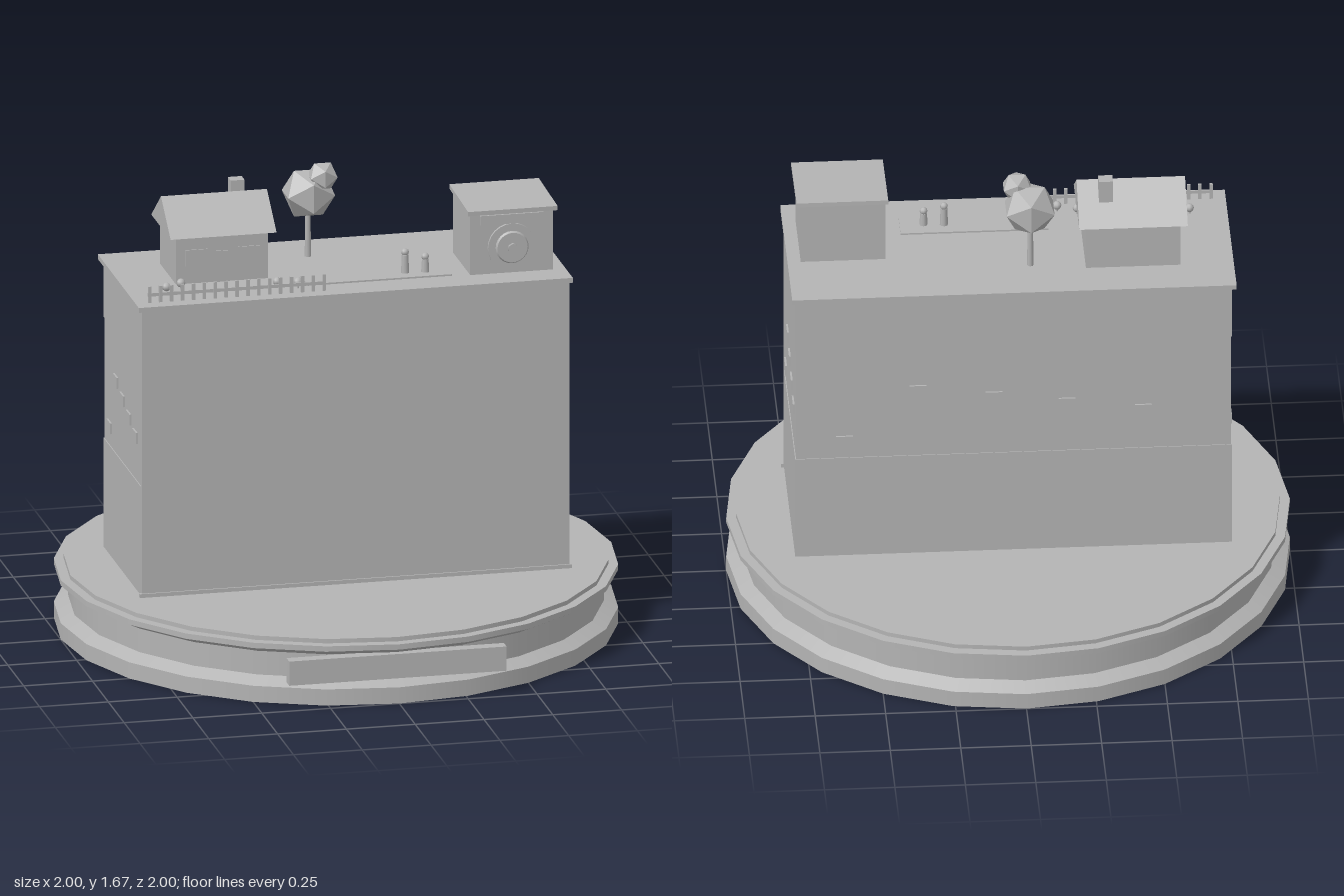
import * as THREE from 'three';

export function createModel() {
  const root = new THREE.Group();
  root.name = 'clifftopHouseDiorama';
  const stone = new THREE.MeshStandardMaterial({ color: 0xb4b4b4 });
  stone.name = 'plain grey';
  const facet = new THREE.MeshStandardMaterial({ color: 0xb4b4b4, flatShading: true });
  facet.name = 'plain grey faceted';

  const add = (name, geo, x = 0, y = 0, z = 0, parent = root, mat = stone) => {
    const m = new THREE.Mesh(geo, mat);
    m.name = name;
    m.position.set(x, y, z);
    parent.add(m);
    return m;
  };
  // box given by its limits on each axis
  const box = (name, x0, x1, y0, y1, z0, z1, parent = root) =>
    add(name, new THREE.BoxGeometry(x1 - x0, y1 - y0, z1 - z0),
      (x0 + x1) / 2, (y0 + y1) / 2, (z0 + z1) / 2, parent);
  const group = (name) => {
    const g = new THREE.Group();
    g.name = name;
    root.add(g);
    return g;
  };

  // Round stand: stacked 24-sided rings [bottom radius, top radius, y0, y1]
  const stand = group('stand');
  [
    [1, 1, 0, 0.06],
    [1, 0.95, 0.06, 0.087],
    [0.95, 0.95, 0.087, 0.175],
    [0.95, 1, 0.175, 0.2],
    [1, 1, 0.2, 0.22],
    [0.965, 0.965, 0.22, 0.236],
  ].forEach(([r0, r1, y0, y1]) =>
    add('standRing', new THREE.CylinderGeometry(r1, r0, y1 - y0, 24), 0, (y0 + y1) / 2, 0, stand));
  box('blankPlaque', -0.395, 0.395, 0.087, 0.177, 0.935, 0.978, stand);

  // Tall block: the middle course is set back a hair
  const block = group('block');
  box('lowerCourse', -0.775, 0.775, 0.23, 0.64, -0.305, 0.3, block);
  box('middleCourse', -0.772, 0.772, 0.64, 1.09, -0.302, 0.3, block);
  box('upperCourse', -0.775, 0.775, 1.09, 1.297, -0.305, 0.3, block);
  box('frontPanel', -0.777, 0.777, 0.236, 1.297, 0.3, 0.31, block);
  box('frontSill', -0.785, 0.785, 0.236, 0.25, 0.3, 0.316, block);
  box('topSlab', -0.79, 0.787, 1.297, 1.315, -0.327, 0.32, block);

  // Small windows stepping down three walls
  const windows = group('windows');
  const heights = [0.71, 0.91, 0.873, 0.837, 0.8];
  const sideZ = [0.213, 0.112, 0.01, -0.093, -0.195];
  const backX = [0.6, 0.34, 0.07, -0.19, -0.46];
  heights.forEach((y, i) => {
    for (const s of [1, -1]) {
      add('sideWindow', new THREE.BoxGeometry(0.009, 0.04, 0.06), s * 0.774, y, s * sideZ[i], windows);
    }
    add('backWindow', new THREE.BoxGeometry(0.06, 0.04, 0.009), backX[i], y, -0.304, windows);
  });

  // Cottage with gable roof
  const house = group('house');
  box('houseWalls', -0.6, -0.265, 1.31, 1.5, -0.175, 0.08, house);
  const gable = new THREE.Shape([
    new THREE.Vector2(-0.153, 0), new THREE.Vector2(0.153, 0), new THREE.Vector2(0, 0.115),
  ]);
  const roof = add('houseRoof', new THREE.ExtrudeGeometry(gable, { depth: 0.385, bevelEnabled: false }),
    -0.625, 1.49, -0.048, house);
  roof.rotation.y = Math.PI / 2;
  box('chimney', -0.365, -0.315, 1.53, 1.636, -0.12, -0.075, house);
  box('houseDoor', -0.455, -0.405, 1.315, 1.43, 0.08, 0.084, house);
  for (const x of [-0.525, -0.335]) {
    box('houseWindow', x - 0.04, x + 0.04, 1.38, 1.44, 0.08, 0.084, house);
  }

  // Picket fence
  const fence = group('fence');
  const pickets = 17;
  for (let i = 0; i < pickets; i++) {
    const x = -0.738 + (i * 0.634) / (pickets - 1);
    box('picket', x - 0.006, x + 0.006, 1.313, 1.375, 0.262, 0.27, fence);
  }
  box('fenceRail', -0.745, -0.098, 1.338, 1.35, 0.263, 0.269, fence);

  // Little flowers beside the cottage
  const flowers = group('flowers');
  for (const [x, z] of [[-0.655, 0.17], [-0.595, 0.137], [-0.258, 0.195], [-0.188, 0.217]]) {
    add('flowerStem', new THREE.CylinderGeometry(0.004, 0.004, 0.025, 6), x, 1.325, z, flowers);
    add('flowerHead', new THREE.SphereGeometry(0.016, 8, 6), x, 1.338, z, flowers);
  }

  // Tree with two faceted clumps
  const tree = group('tree');
  add('trunk', new THREE.CylinderGeometry(0.009, 0.012, 0.19, 8), -0.07, 1.405, -0.14, tree);
  add('largeClump', new THREE.IcosahedronGeometry(0.1, 0), -0.068, 1.55, -0.14, tree, facet);
  add('smallClump', new THREE.IcosahedronGeometry(0.057, 0), -0.025, 1.62, -0.105, tree, facet);

  // Path and two standing figures
  box('path', -0.15, 0.375, 1.31, 1.321, 0.09, 0.2);
  const figures = group('figures');
  for (const [x, z, h] of [[0.218, 0.143, 0.07], [0.29, 0.148, 0.05]]) {
    add('figureBody', new THREE.CylinderGeometry(0.012, 0.015, h, 8), x, 1.318 + h / 2, z, figures);
    add('figureHead', new THREE.SphereGeometry(0.014, 8, 6), x, 1.327 + h, z, figures);
  }

  // Wheel house with tilted roof
  const mill = group('wheelHouse');
  box('wheelHouseWalls', 0.44, 0.74, 1.31, 1.543, -0.068, 0.207, mill);
  const lid = box('wheelHouseRoof', 0.43, 0.755, 1.543, 1.559, -0.08, 0.218, mill);
  lid.rotation.x = 0.04;
  box('signBoard', 0.475, 0.705, 1.498, 1.533, 0.207, 0.214, mill);
  const wheelParts = [
    ['wheelDisc', 0.087, 0.087, 0.01, 24, 0.212],
    ['wheelFace', 0.055, 0.06, 0.008, 24, 0.221],
    ['wheelHub', 0.018, 0.018, 0.012, 6, 0.23],
  ];
  for (const [name, rFront, rBack, depth, sides, z] of wheelParts) {
    add(name, new THREE.CylinderGeometry(rFront, rBack, depth, sides), 0.59, 1.412, z, mill)
      .rotation.x = Math.PI / 2;
  }

  return root;
}
